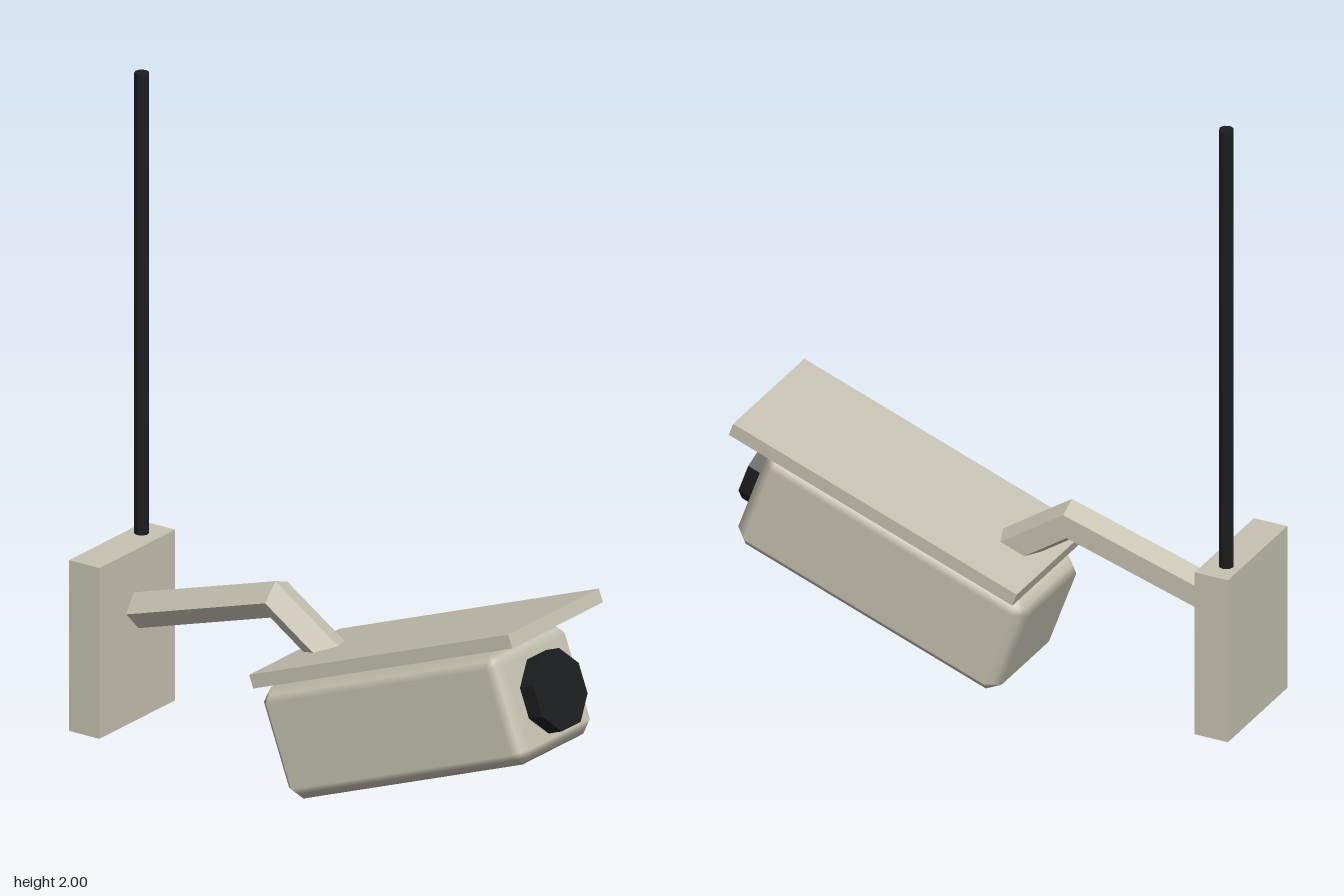
import * as THREE from 'three';

const casing = new THREE.MeshStandardMaterial({ color: 0xc6c2b2 });
casing.name = 'warm grey casing';
const black = new THREE.MeshStandardMaterial({ color: 0x1c1d1e });
black.name = 'black';

function part(name, geometry, material, x = 0, y = 0, z = 0) {
  const mesh = new THREE.Mesh(geometry, material);
  mesh.name = name;
  mesh.position.set(x, y, z);
  return mesh;
}

// faceted normals for low-poly parts
function faceted(geometry) {
  const g = geometry.toNonIndexed();
  g.computeVertexNormals();
  return g;
}

// box with one-step chamfers, flat faces and softly shaded edges
function chamferedBox(w, h, d, r) {
  const g = new THREE.BoxGeometry(1, 1, 1, 3, 3, 3);
  const half = [w / 2, h / 2, d / 2];
  const pos = g.attributes.position, nor = g.attributes.normal;
  for (let i = 0; i < pos.count; i++) {
    const p = [pos.getX(i), pos.getY(i), pos.getZ(i)];
    const outer = p.map(c => Math.abs(c) > 0.49);
    const n = outer.filter(Boolean).length;
    const q = p.map((c, k) => Math.sign(c) * (half[k] - (outer[k] ? r * (n - 1) / n : r)));
    const m = p.map((c, k) => (outer[k] ? Math.sign(c) / Math.sqrt(n) : 0));
    pos.setXYZ(i, ...q);
    nor.setXYZ(i, ...m);
  }
  return g;
}

// five-sided bar swept along a bent path of [y, z] points, mitred at the bend
function bentBar(path, radius) {
  const last = path.length - 1;
  const g = new THREE.CylinderGeometry(radius, radius, 1, 5, last, false, -Math.PI / 2);
  const dirs = path.slice(1).map((p, i) =>
    new THREE.Vector2(p[0] - path[i][0], p[1] - path[i][1]).normalize());
  const pos = g.attributes.position;
  for (let i = 0; i < pos.count; i++) {
    const s = Math.round((pos.getY(i) + 0.5) * last);
    const a = dirs[Math.max(s - 1, 0)], b = dirs[Math.min(s, last - 1)];
    const t = a.clone().add(b).normalize();
    const k = pos.getZ(i) / t.dot(a);
    pos.setXYZ(i, pos.getX(i), path[s][0] - t.y * k, path[s][1] + t.x * k);
  }
  return faceted(g);
}

export function createModel() {
  const model = new THREE.Group();
  model.name = 'wallCamera';

  // tilted camera head: housing, sun shield and lens
  const head = new THREE.Group();
  head.name = 'cameraHead';
  head.position.set(0, 0.304, 0.313);
  head.rotation.x = -THREE.MathUtils.degToRad(20);
  head.add(part('housing', chamferedBox(0.38, 0.34, 0.91, 0.04), casing));
  head.add(part('sunShield', new THREE.BoxGeometry(0.45, 0.042, 0.98), casing, 0, 0.21, 0.073));
  const lens = new THREE.CylinderGeometry(0.122, 0.122, 0.1, 8);
  lens.rotateY(Math.PI / 8).rotateX(Math.PI / 2);
  head.add(part('lens', faceted(lens), black, 0, 0, 0.455));
  model.add(head);

  // bent arm from the housing back to the wall
  model.add(part('arm', bentBar([[0.365, 0.025], [0.532, -0.222], [0.385, -0.715]], 0.0565), casing));

  // wall plate and the cable conduit rising from it
  model.add(part('wallPlate', new THREE.BoxGeometry(0.375, 0.53, 0.108), casing, 0, 0.305, -0.771));
  const conduit = new THREE.CylinderGeometry(0.022, 0.022, 1.45, 8);
  model.add(part('conduit', faceted(conduit), black, 0.11, 1.275, -0.78));

  return model;
}
